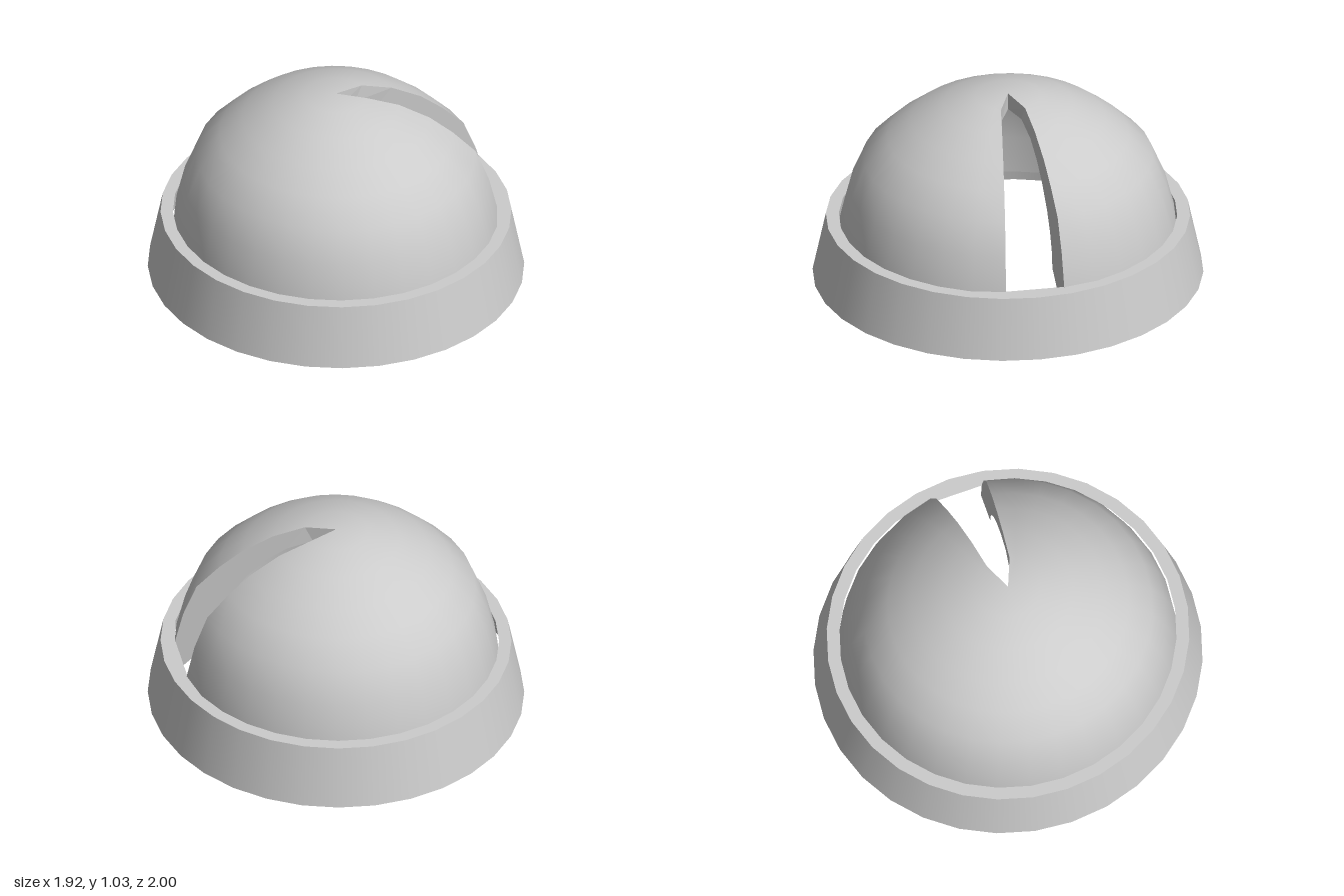
import * as THREE from 'three';

const SX = 0.975, SZ = 1.015; // the plan is slightly oval
// dome profile from the pole down: [radius, height]
const PROFILE = [[0, 1.03], [0.165, 1.02], [0.33, 0.97], [0.49, 0.885], [0.61, 0.79],
  [0.73, 0.67], [0.8, 0.5], [0.845, 0.32], [0.865, 0.11]];
// inner edge of the slit walls: [x, height], one per profile row
const INNER = [[0, 0.94], [0.11, 0.935], [0.24, 0.89], [0.35, 0.82], [0.44, 0.73],
  [0.52, 0.62], [0.57, 0.52], [0.6, 0.42], [0.61, 0.33]];

const material = new THREE.MeshStandardMaterial({ color: 0xcccccc, side: THREE.DoubleSide });

// half width of the slit at a given x
const slitHalfWidth = (x) => (x < 0.13 ? 0.46 * x : 0.06 + 0.134 * (x - 0.13));

// angle at which the slit edge meets a dome row
function slitAngle(r) {
  if (r === 0) return 0.43;
  let a = 0.2;
  for (let k = 0; k < 12; k++) a = Math.asin(slitHalfWidth(SX * r * Math.cos(a)) / (SZ * r));
  return a;
}

// surface through rows of points
function gridGeometry(rows) {
  const cols = rows[0].length, index = [];
  for (let i = 0; i < rows.length - 1; i++) {
    for (let j = 0; j < cols - 1; j++) {
      const a = i * cols + j, b = a + cols;
      if (rows[i][j].distanceTo(rows[i][j + 1]) > 1e-6) index.push(a, a + 1, b);
      index.push(a + 1, b + 1, b);
    }
  }
  const g = new THREE.BufferGeometry().setFromPoints(rows.flat());
  g.setIndex(index);
  g.computeVertexNormals();
  return g;
}

function lathe(points) {
  const g = new THREE.LatheGeometry(points.map((p) => new THREE.Vector2(...p)), 32);
  return g.scale(SX, 1, SZ);
}

export function createModel() {
  const model = new THREE.Group();
  const add = (geometry, name) => {
    const mesh = new THREE.Mesh(geometry, material);
    mesh.name = name;
    model.add(mesh);
    return mesh;
  };

  // dome shell, left open along the slit
  const columns = 30;
  const domeRows = PROFILE.map(([r, y]) => {
    const start = slitAngle(r);
    return Array.from({ length: columns + 1 }, (_, j) => {
      const a = start + (j / columns) * (2 * Math.PI - 2 * start);
      return new THREE.Vector3(SX * r * Math.cos(a), y, SZ * r * Math.sin(a));
    });
  });
  const dome = gridGeometry(domeRows);
  // the pole is shared by all columns
  for (let j = 0; j <= columns; j++) dome.attributes.normal.setXYZ(j, 0, 1, 0);
  add(dome, 'dome');

  // upright walls lining both sides of the slit
  for (const side of [1, -1]) {
    const rows = domeRows.map((row, i) => {
      const [x, y] = INNER[i];
      const outer = row[0].clone();
      outer.z *= side;
      const inner = new THREE.Vector3(x, y, side * slitHalfWidth(x));
      return side > 0 ? [inner, outer] : [outer, inner];
    });
    const wall = gridGeometry(rows).toNonIndexed();
    wall.computeVertexNormals();
    add(wall, side > 0 ? 'slitWallFront' : 'slitWallBack');
  }

  // tapered base ring with a flat lip around the dome
  add(lathe([[0.985, 0], [0.918, 0.325]]), 'baseRing');
  const lip = lathe([[0.918, 0.325], [0.853, 0.325]]);
  const p = lip.attributes.position;
  for (let i = 1; i < p.count; i += 2) p.setX(i, Math.min(p.getX(i), 0.805)); // straight sill under the slit
  add(lip, 'baseRingLip');

  return model;
}
